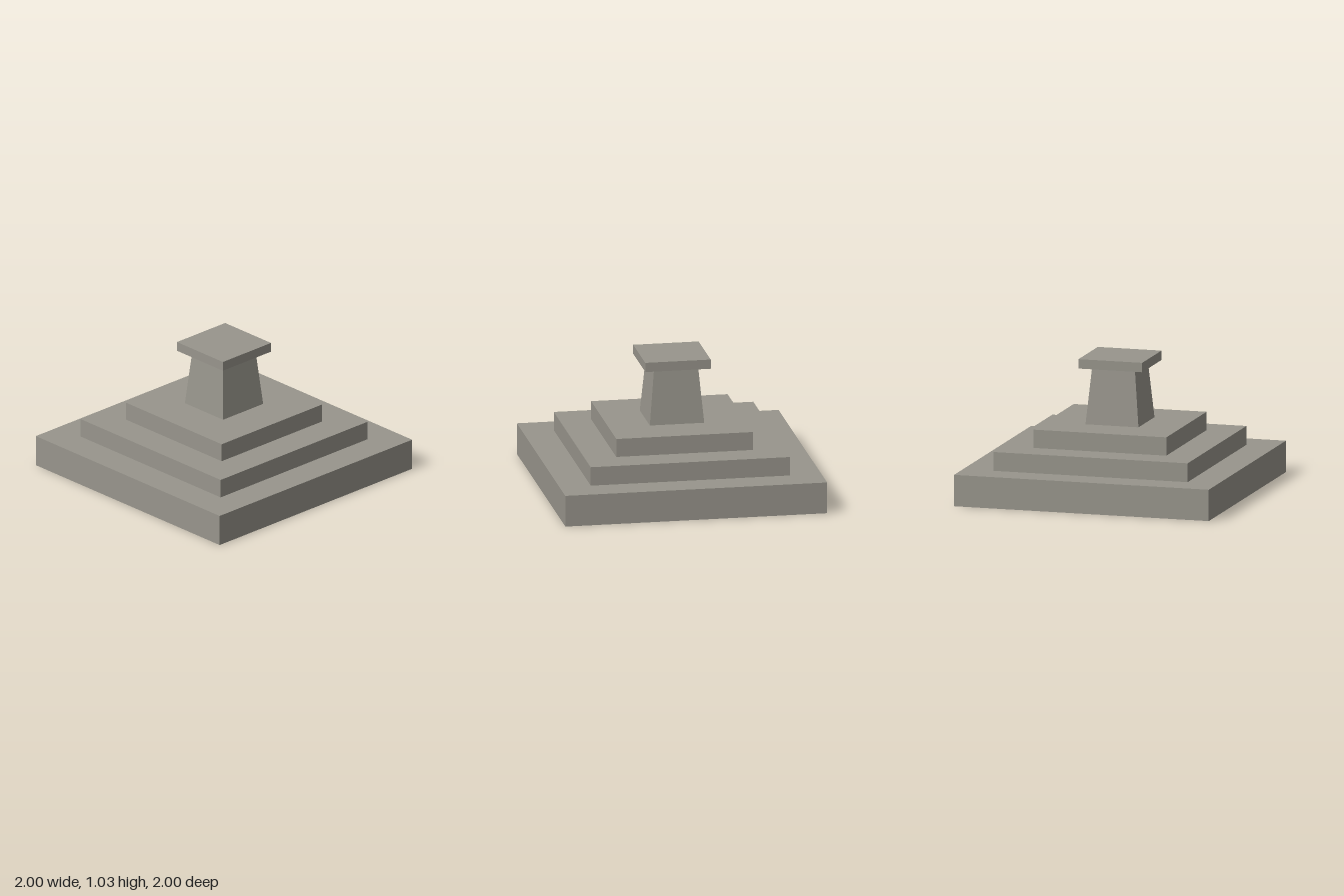
import * as THREE from 'three';

export function createModel() {
  const model = new THREE.Group();
  model.name = 'steppedPedestal';

  const stone = new THREE.MeshStandardMaterial({ color: 0x98958c });
  stone.name = 'warm grey stone';

  const add = (name, geometry, bottom, top) => {
    const mesh = new THREE.Mesh(geometry, stone);
    mesh.name = name;
    mesh.position.y = (bottom + top) / 2;
    model.add(mesh);
  };

  // Square slabs: name, width, bottom, top
  const slabs = [
    ['base', 2, 0, 0.24],
    ['middleStep', 1.524, 0.24, 0.384],
    ['upperStep', 1.044, 0.384, 0.524],
    ['capSlab', 0.5, 0.956, 1.028],
  ];
  for (const [name, width, bottom, top] of slabs) {
    add(name, new THREE.BoxGeometry(width, top - bottom, width), bottom, top);
  }

  // Tapered square pillar: a box whose upper corners are drawn in
  const [low, high] = [0.524, 0.956];
  const pillar = new THREE.BoxGeometry(0.416, high - low, 0.416);
  const p = pillar.attributes.position;
  for (let i = 0; i < p.count; i++) {
    if (p.getY(i) > 0) {
      p.setX(i, Math.sign(p.getX(i)) * 0.168);
      p.setZ(i, Math.sign(p.getZ(i)) * 0.168);
    }
  }
  pillar.computeVertexNormals();
  add('pillar', pillar, low, high);

  return model;
}
